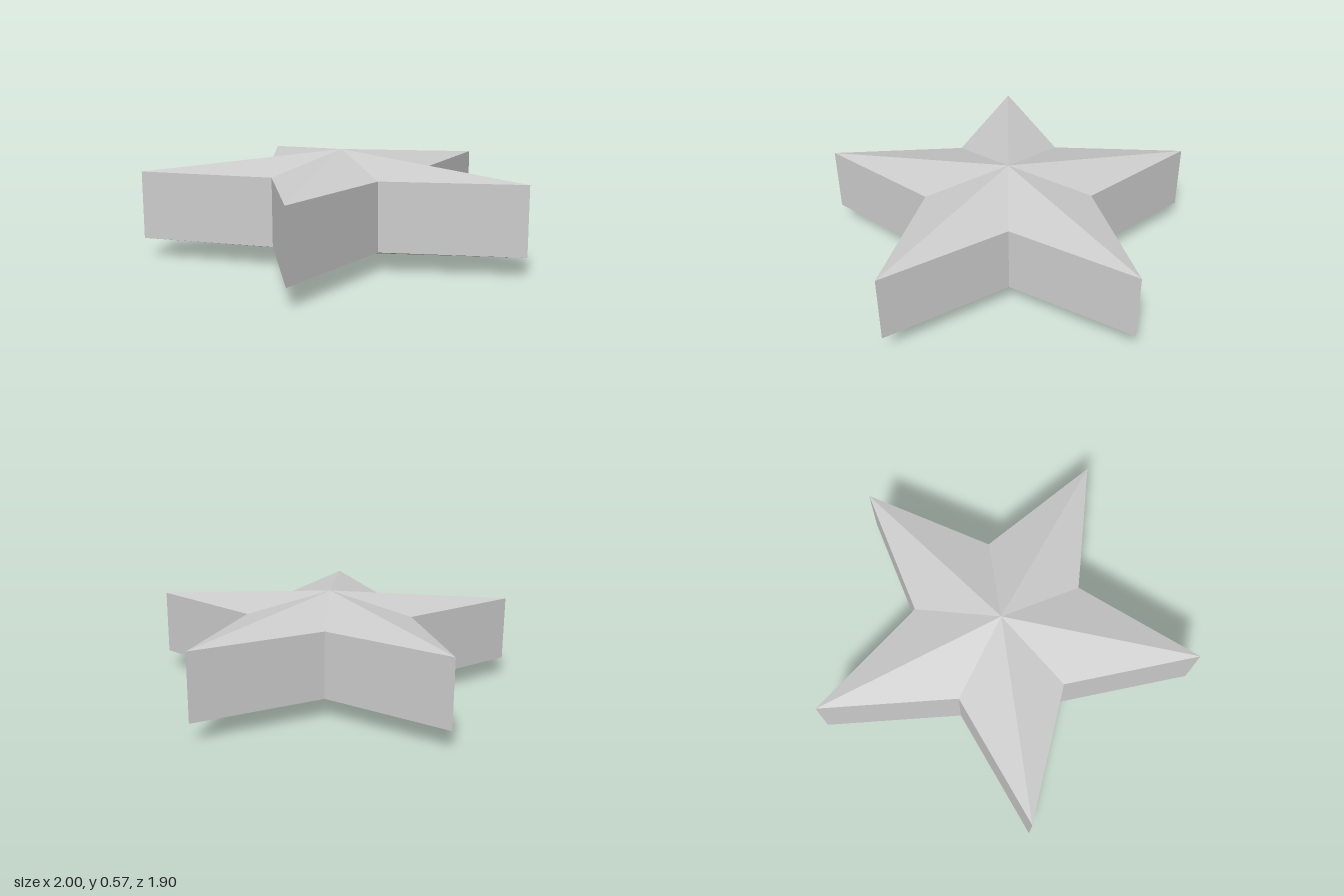
import * as THREE from 'three';

const POINTS = 5;
const OUTER = 1 / Math.cos(Math.PI / 10); // side tips reach x = +-1
const INNER = 0.463;
const CENTER_Z = 0.1;
const Y = { base: 0, low: 0.107, high: 0.465, peak: 0.57 };

// Star outline at a given height, clockwise seen from above, first tip at the back
function starRing(y) {
  return Array.from({ length: POINTS * 2 }, (_, i) => {
    const r = i % 2 ? INNER : OUTER;
    const a = (i * Math.PI) / POINTS;
    return new THREE.Vector3(Math.sin(a) * r, y, CENTER_Z - Math.cos(a) * r);
  });
}

function facetMesh(name, corners, material) {
  const geometry = new THREE.BufferGeometry().setFromPoints(corners);
  geometry.computeVertexNormals(); // unshared corners keep every facet flat
  const mesh = new THREE.Mesh(geometry, material);
  mesh.name = name;
  return mesh;
}

export function createModel() {
  const group = new THREE.Group();
  group.name = 'star';
  const grey = new THREE.MeshStandardMaterial({ color: 0xcccccc });
  grey.name = 'lightGrey';

  const high = starRing(Y.high);
  const low = starRing(Y.low);
  const peak = new THREE.Vector3(0, Y.peak, CENTER_Z);
  const base = new THREE.Vector3(0, Y.base, CENTER_Z);

  const top = [], bottom = [], sides = [];
  high.forEach((h, i) => {
    const j = (i + 1) % high.length;
    top.push(peak, high[j], h);
    bottom.push(base, low[i], low[j]);
    sides.push(low[j], low[i], h, low[j], h, high[j]);
  });

  // Faceted caps and the upright band between them
  group.add(
    facetMesh('topFacets', top, grey),
    facetMesh('bottomFacets', bottom, grey),
    facetMesh('sideWalls', sides, grey)
  );
  return group;
}
